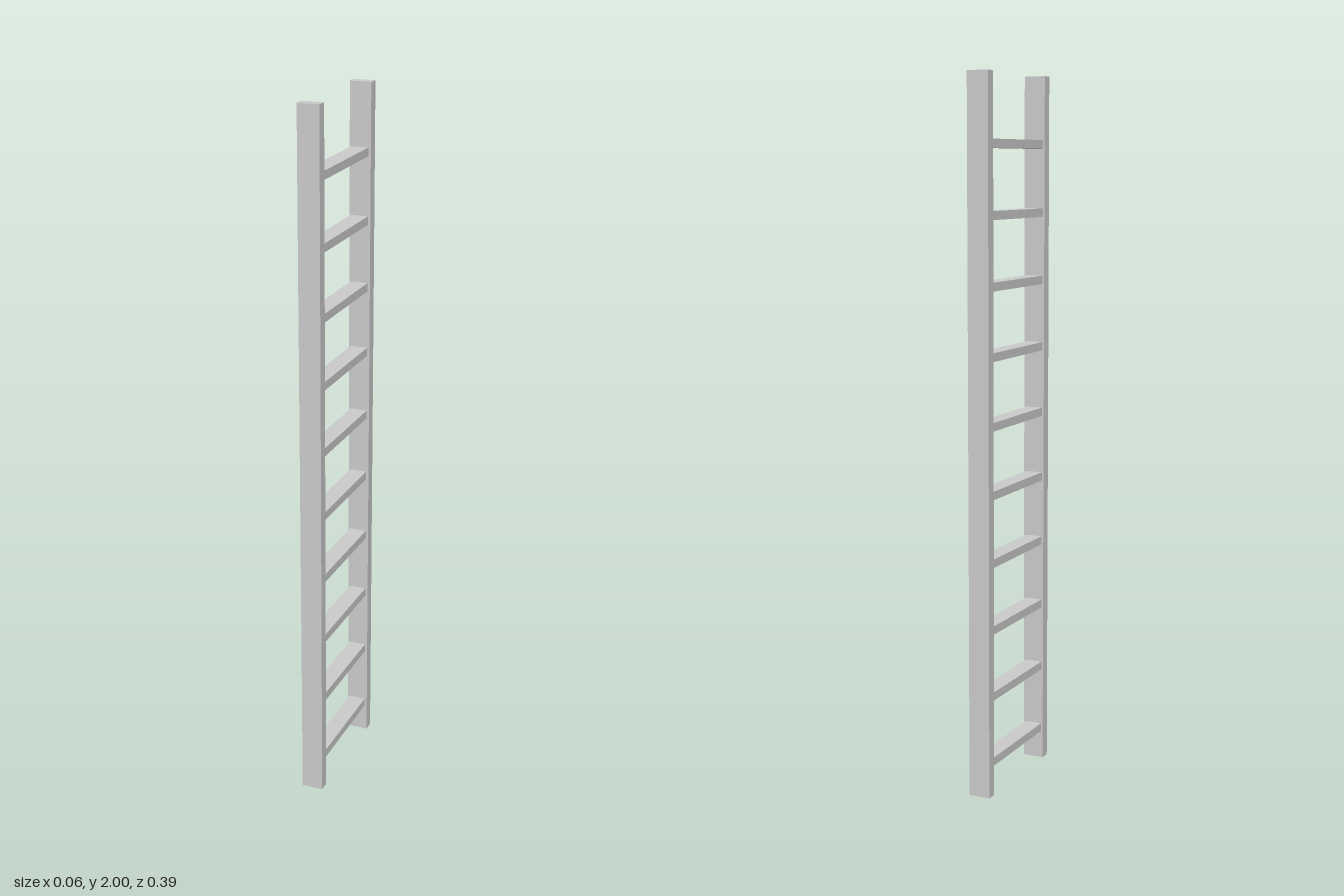
import * as THREE from 'three';

export function createModel() {
  const model = new THREE.Group();
  model.name = 'ladder';
  const material = new THREE.MeshStandardMaterial({ color: 0xcccccc, flatShading: true });

  const addBox = (name, [w, h, d], [x, y, z]) => {
    const mesh = new THREE.Mesh(new THREE.BoxGeometry(w, h, d), material);
    mesh.name = name;
    mesh.position.set(x, y, z);
    model.add(mesh);
  };

  // Two upright side rails
  const railDepth = 0.031, halfSpan = 0.197;
  for (const side of [1, -1]) {
    addBox(side > 0 ? 'frontRail' : 'backRail', [0.062, 2, railDepth],
      [0, 1, side * (halfSpan - railDepth / 2)]);
  }

  // Ten flat rungs, evenly spaced between the rails
  const rungLength = 2 * (halfSpan - railDepth);
  for (let i = 0; i < 10; i++) {
    addBox(`rung${i + 1}`, [0.05, 0.024, rungLength], [-0.001, 0.094 + i * 0.1908, 0]);
  }
  return model;
}
